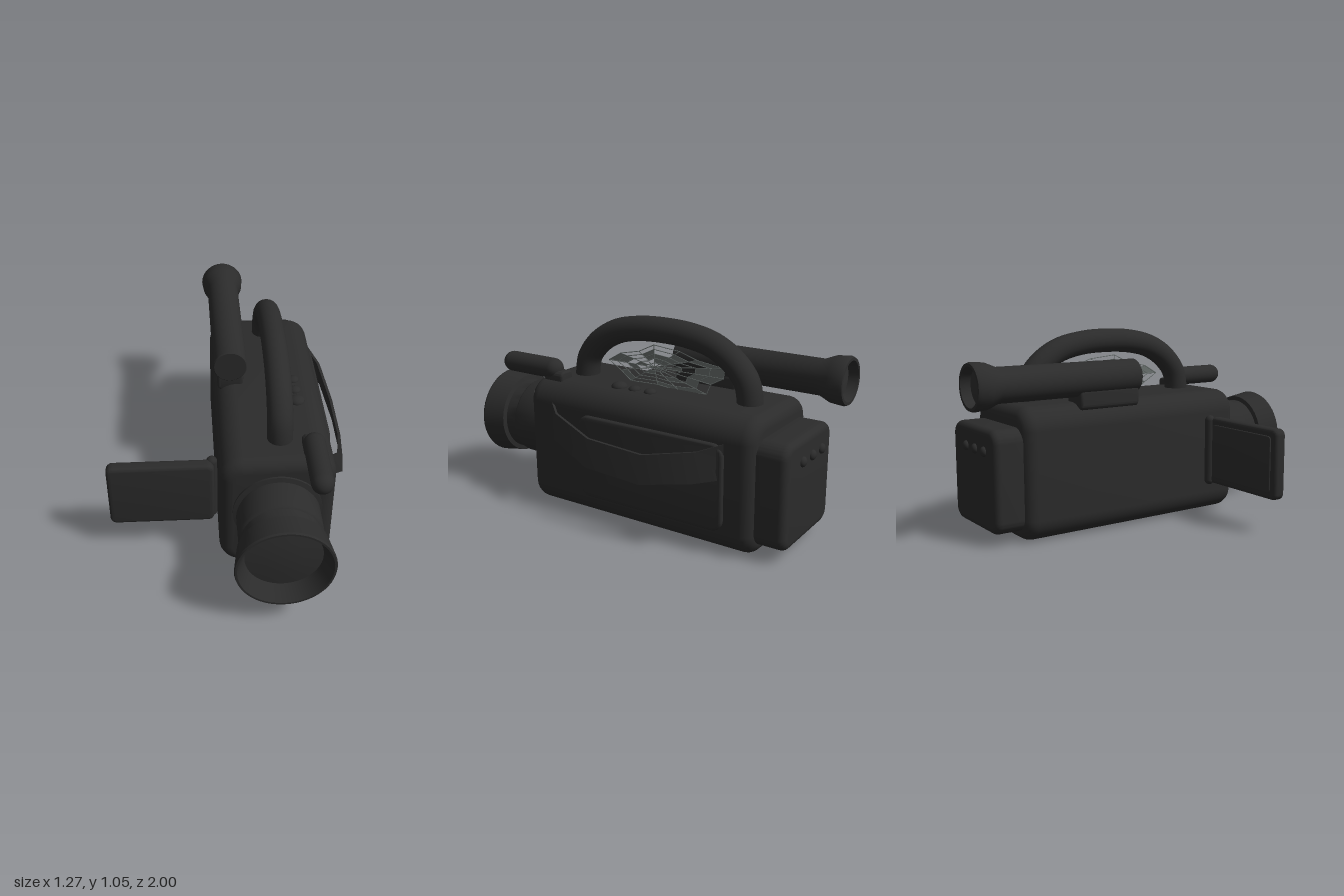
import * as THREE from 'three';
import { toCreasedNormals, mergeGeometries } from 'three/addons/utils/BufferGeometryUtils.js';

const V3 = (x, y, z) => new THREE.Vector3(x, y, z);

export function createModel() {
  const model = new THREE.Group();
  const material = (name, color, side = THREE.FrontSide) => {
    const m = new THREE.MeshStandardMaterial({ color, side });
    m.name = name;
    return m;
  };
  const casing = material('black casing', 0x2b2b2b);
  const glass = material('dark glass', 0x2e2e2e);
  const lamp = material('grey lamp', 0x8a8a8a);
  const silk = material('web grey', 0x69706e, THREE.DoubleSide);

  const add = (name, geometry, mat, x = 0, y = 0, z = 0) => {
    const mesh = new THREE.Mesh(geometry, mat);
    mesh.name = name;
    mesh.position.set(x, y, z);
    model.add(mesh);
    return mesh;
  };

  // Block with corner radius r in the xy plane and rounded front and back edges b
  const block = (w, h, d, r, b) => {
    const x = w / 2 - b, y = h / 2 - b, c = r - b;
    const s = new THREE.Shape();
    s.moveTo(-x + c, -y);
    s.lineTo(x - c, -y);
    s.absarc(x - c, -y + c, c, -Math.PI / 2, 0);
    s.lineTo(x, y - c);
    s.absarc(x - c, y - c, c, 0, Math.PI / 2);
    s.lineTo(-x + c, y);
    s.absarc(-x + c, y - c, c, Math.PI / 2, Math.PI);
    s.lineTo(-x, -y + c);
    s.absarc(-x + c, -y + c, c, Math.PI, Math.PI * 1.5);
    const g = new THREE.ExtrudeGeometry(s, {
      depth: d - 2 * b, bevelSize: b, bevelThickness: b, bevelSegments: 5, curveSegments: 7,
    });
    g.translate(0, 0, b - d / 2);
    return toCreasedNormals(g, 0.6);
  };

  // Turned part along z; dir is the way the profile runs
  const turned = (profile, dir) => {
    const g = new THREE.LatheGeometry(profile.map(([r, z]) => new THREE.Vector2(r, z)), 48);
    g.rotateX(dir * Math.PI / 2);
    return toCreasedNormals(g, 0.5);
  };

  // Body and battery
  add('body', block(0.58, 0.69, 1.35, 0.12, 0.065), casing, 0.22, 0.345, -0.075);
  add('battery', block(0.5, 0.53, 0.22, 0.07, 0.035), casing, 0.22, 0.325, -0.79);
  for (const x of [0.09, 0.195, 0.3]) {
    const g = new THREE.SphereGeometry(0.026, 20, 12);
    g.scale(1, 1, 0.75);
    add('batteryButton', g, casing, x, 0.475, -0.9);
  }

  // Lens barrel with grooves and a flared, hollow hood
  add('lensBarrel', turned([
    [0.225, 0.57], [0.225, 0.61], [0.2, 0.615], [0.2, 0.63], [0.21, 0.635], [0.21, 0.78],
    [0.205, 0.79], [0.198, 0.795], [0.198, 0.86], [0.222, 0.865], [0.242, 0.99],
    [0.238, 1], [0.228, 1], [0.187, 0.91],
  ], 1), casing, 0.22, 0.38, 0);
  add('lensGlass', turned([[0.19, 0.912], [0.1, 0.922], [0, 0.925]], 1), glass, 0.22, 0.38, 0);

  // Carrying handle
  const arch = new THREE.CatmullRomCurve3([
    [0.62, 0.405], [0.7, 0.405], [0.79, 0.385], [0.88, 0.31], [0.945, 0.2], [0.977, 0.06], [0.985, -0.09],
    [0.977, -0.24], [0.945, -0.38], [0.88, -0.49], [0.79, -0.565], [0.7, -0.585], [0.62, -0.585],
  ].map(([y, z]) => V3(0.24, y, z)));
  add('handle', new THREE.TubeGeometry(arch, 64, 0.065, 20), casing);

  // Viewfinder, eyecup and mount
  add('viewfinder', turned([
    [0, 0.05], [0.085, 0.05], [0.09, 0.055], [0.09, 0.86], [0.115, 0.92], [0.121, 0.985],
    [0.115, 1], [0.1, 1], [0.09, 0.95],
  ], -1), casing, 0.018, 0.808, 0);
  add('eyepieceGlass', turned([[0.092, 0.95], [0, 0.955]], -1), glass, 0.018, 0.808, 0);
  add('viewfinderMount', block(0.14, 0.12, 0.36, 0.03, 0.015), casing, 0.02, 0.71, -0.24);

  // Microphone on its foot
  const mic = new THREE.CapsuleGeometry(0.055, 0.28, 10, 24);
  mic.rotateX(Math.PI / 2);
  add('microphone', mic, casing, 0.395, 0.735, 0.655);
  add('microphoneMount', block(0.09, 0.08, 0.12, 0.025, 0.012), casing, 0.39, 0.69, 0.485);

  // Top buttons and front lamp
  for (const [z, r] of [[-0.085, 0.032], [0.01, 0.032], [0.105, 0.042]]) {
    const g = new THREE.SphereGeometry(r, 24, 14);
    g.scale(1, 0.65, 1);
    add('topButton', g, casing, 0.36, 0.69, z);
  }
  add('lamp', new THREE.SphereGeometry(0.027, 24, 16), lamp, 0.43, 0.595, 0.595);

  // Fold-out screen with hinge
  add('screen', block(0.545, 0.375, 0.07, 0.035, 0.02), casing, -0.3625, 0.3675, 0.42);
  add('screenPanel', block(0.46, 0.3, 0.012, 0.02, 0.005), glass, -0.365, 0.3675, 0.384);
  add('hinge', new THREE.CapsuleGeometry(0.028, 0.34, 8, 20), casing, -0.1, 0.3675, 0.39);

  // Side cover
  const cover = block(0.85, 0.44, 0.05, 0.06, 0.015);
  cover.rotateY(Math.PI / 2);
  add('sideCover', cover, casing, 0.505, 0.34, -0.175);

  // Hand strap: rectangular sections [z, x, top y, bottom y]
  const strap = [
    [0.44, 0.505, 0.59, 0.46], [0.37, 0.57, 0.55, 0.42], [0.13, 0.615, 0.475, 0.33],
    [-0.2, 0.622, 0.46, 0.315], [-0.48, 0.585, 0.52, 0.37], [-0.6, 0.515, 0.565, 0.39],
  ];
  const pos = [], index = [];
  strap.forEach(([z, x, top, low], i) => {
    const t = 0.015, tilt = i > 0 && i < 5 ? 0.012 : 0;
    pos.push(x - tilt, top, z, x + tilt, low, z, x + tilt - t, low, z, x - tilt - t, top, z);
    if (i === 0) return;
    for (let k = 0; k < 4; k++) {
      const a = (i - 1) * 4 + k, b = (i - 1) * 4 + (k + 1) % 4;
      index.push(a, b, b + 4, a, b + 4, a + 4);
    }
  });
  const strapGeometry = new THREE.BufferGeometry();
  strapGeometry.setAttribute('position', new THREE.Float32BufferAttribute(pos, 3));
  strapGeometry.setIndex(index);
  const strapMaterial = casing.clone();
  strapMaterial.side = THREE.DoubleSide;
  add('handStrap', toCreasedNormals(strapGeometry, 0.5), strapMaterial);

  // Web inside the handle: spokes, rings and torn panels
  let seed = 11;
  const random = () => (seed = (seed * 16807) % 2147483647) / 2147483647;
  const spokes = 14, rings = 5;
  const node = (s, r) => {
    const a = (s % spokes) / spokes * Math.PI * 2, f = r / rings;
    const bump = 1 - 0.12 * ((s % spokes) % 3);
    return V3(0.24, 0.785 + 0.12 * f * bump * Math.sin(a), -0.03 - 0.08 * f + 0.37 * f * bump * Math.cos(a));
  };
  const pieces = [];
  const thread = (a, b) => pieces.push(
    new THREE.TubeGeometry(new THREE.LineCurve3(a, b), 1, 0.0022, 4).toNonIndexed());
  const panel = (...c) => {
    const g = new THREE.BufferGeometry().setFromPoints([c[0], c[1], c[2], c[0], c[2], c[3]]);
    g.setAttribute('uv', new THREE.Float32BufferAttribute(new Array(12).fill(0), 2));
    g.computeVertexNormals();
    pieces.push(g);
  };
  for (let s = 0; s < spokes; s++) {
    thread(node(s, 0), node(s, rings));
    for (let r = 1; r <= rings; r++) {
      thread(node(s, r), node(s + 1, r));
      if (r > 1 && random() < 0.4) panel(node(s, r - 1), node(s, r), node(s + 1, r), node(s + 1, r - 1));
    }
  }
  add('web', mergeGeometries(pieces), silk);

  return model;
}
